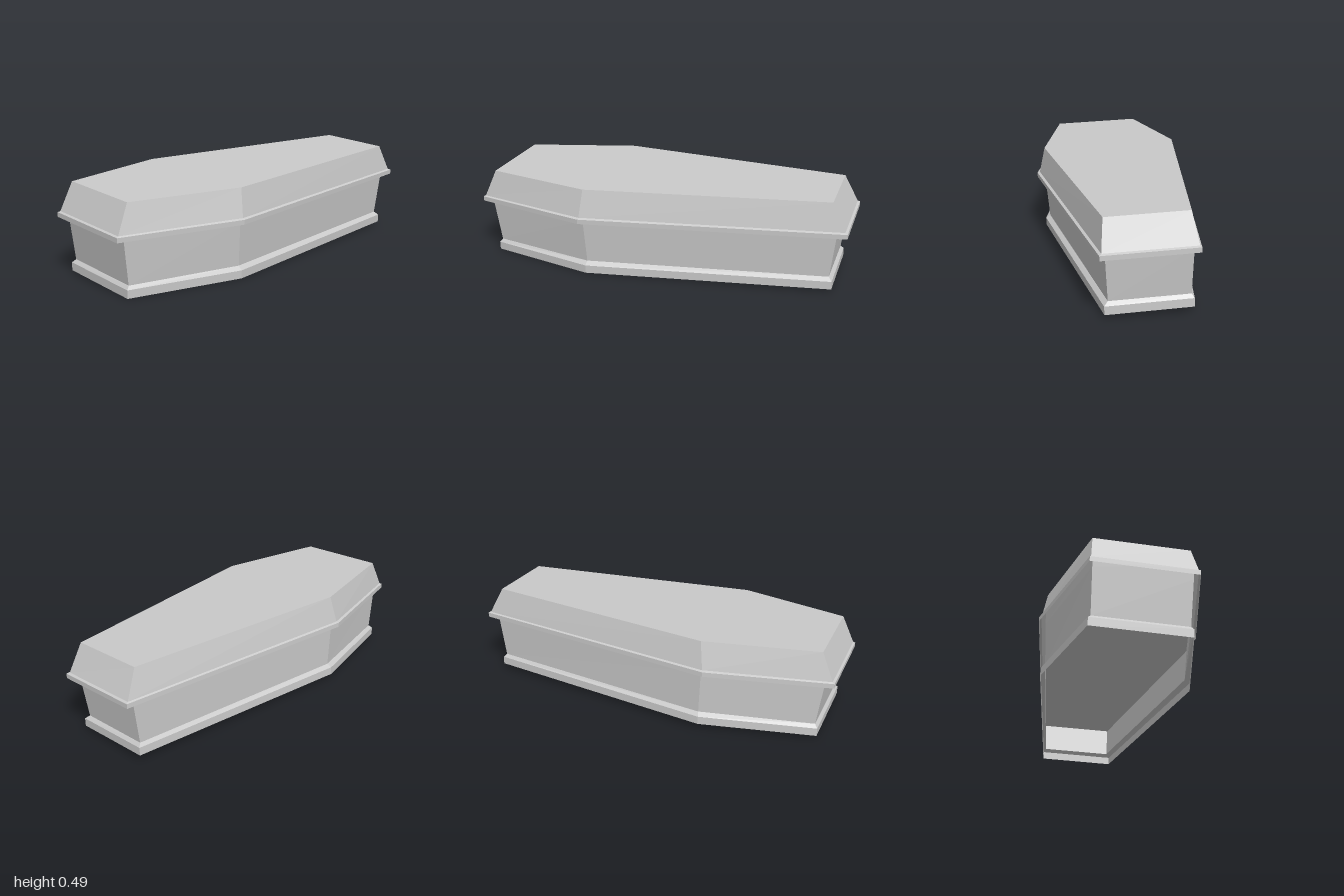
import * as THREE from 'three';

// Six corners from the wide end round the front: rim x, rim z, and the inward step dx, dz
const CORNERS = [
  [-0.996, 0.166, 0.077, -0.015],
  [-0.398, 0.396, 0.024, -0.045],
  [0.944, 0.371, -0.076, -0.04],
  [1.002, -0.077, -0.084, 0.017],
  [-0.301, -0.414, 0.022, 0.043],
  [-0.936, -0.339, 0.072, 0.029],
];

// Skin between inset copies of the footprint; each section is [y, insetX, insetZ]
function loft(name, material, sections, capTop = false) {
  const n = CORNERS.length;
  const rings = sections.map(([y, fx, fz]) =>
    CORNERS.map(([x, z, dx, dz]) => [x + dx * fx, y, z + dz * fz]));
  const pos = [];
  const tri = (...corners) => corners.forEach((c) => pos.push(...c));
  for (let k = 0; k + 1 < rings.length; k++) {
    for (let i = 0; i < n; i++) {
      const j = (i + 1) % n;
      tri(rings[k][i], rings[k][j], rings[k + 1][j]);
      tri(rings[k][i], rings[k + 1][j], rings[k + 1][i]);
    }
  }
  if (capTop) {
    const top = rings[rings.length - 1];
    for (let i = 1; i + 1 < n; i++) tri(top[0], top[i], top[i + 1]);
  }
  const geometry = new THREE.BufferGeometry();
  geometry.setAttribute('position', new THREE.Float32BufferAttribute(pos, 3));
  geometry.computeVertexNormals();
  const mesh = new THREE.Mesh(geometry, material);
  mesh.name = name;
  return mesh;
}

export function createModel() {
  const stone = new THREE.MeshStandardMaterial({
    color: 0xcacaca, flatShading: true, side: THREE.DoubleSide,
  });
  stone.name = 'grey stone';

  const coffin = new THREE.Group();
  coffin.name = 'coffin';

  // Plinth moulding, open underneath, with a bevel up to the walls
  coffin.add(loft('baseTrim', stone, [
    [0, 0.82, 0.66], [0.042, 0.82, 0.66], [0.059, 1.02, 1.2],
  ]));

  // Walls flaring slightly and running up inside the lid
  coffin.add(loft('walls', stone, [[0.059, 1.02, 1.2], [0.29, 0.65, 0.9], [0.36, 0.54, 0.81]]));

  // Raised inner floor, seen from beneath
  coffin.add(loft('innerFloor', stone, [[0.22, 0.78, 1.01]], true));

  // Lid, open underneath: rim, narrow bevel, sloped sides and flat top
  coffin.add(loft('lid', stone, [
    [0.288, 0, 0], [0.312, 0, 0], [0.317, 0.15, 0.3], [0.459, 1, 1],
  ], true));

  // The whole box rests at a slight tilt
  coffin.rotation.set(0.03, 0, 0.0125);
  coffin.position.y = 0.0158;

  const model = new THREE.Group();
  model.name = 'model';
  model.add(coffin);
  return model;
}
